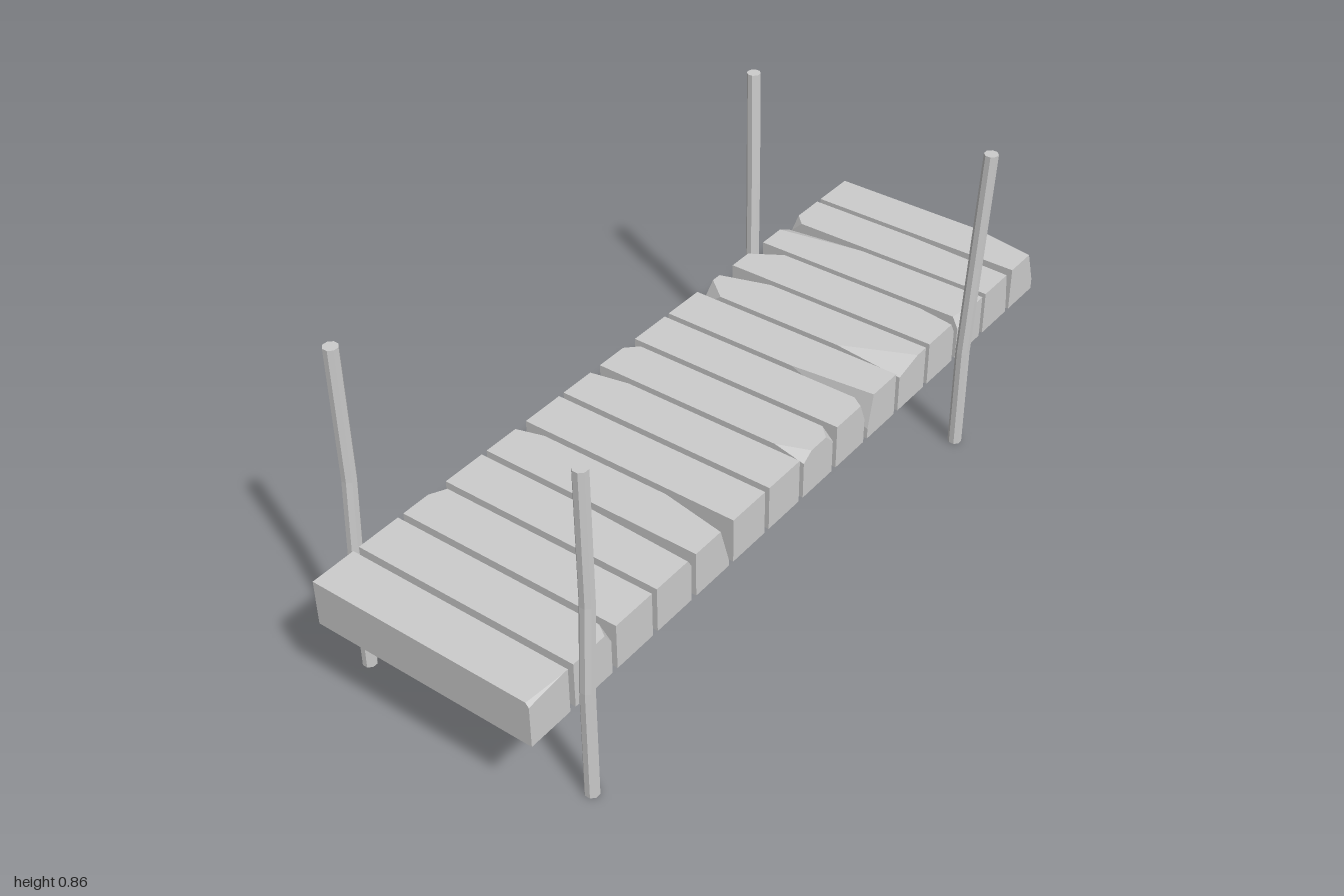
import * as THREE from 'three';
import { ConvexGeometry } from 'three/addons/geometries/ConvexGeometry.js';

const COUNT = 15, DEPTH = 0.118, LEFT = -0.295, RIGHT = 0.292, BOTTOM = 0.24, TOP = 0.358;

// Chipped top corners: [plank, x side, z side, cut along x, cut along y, cut along z]
const CHIPS = [
  [0, 1, -1, 0.17, 0.09, 0.03],
  [1, 1, -1, 0.3, 0.1, 0.012], [1, -1, 1, 0.03, 0.03, 0.03],
  [2, -1, -1, 0.23, 0.02, 0.04], [2, 1, 1, 0.015, 0.03, 0.1],
  [3, -1, -1, 0.08, 0.03, 0.05], [3, 1, -1, 0.1, 0.03, 0.015],
  [4, -1, -1, 0.13, 0.05, 0.04], [4, -1, 1, 0.06, 0.05, 0.05], [4, 1, 1, 0.18, 0.02, 0.08],
  [5, 1, 1, 0.22, 0.09, 0.02],
  [6, 1, -1, 0.03, 0.05, 0.02],
  [7, -1, -1, 0.03, 0.03, 0.03], [7, 1, -1, 0.03, 0.03, 0.03], [7, 1, 1, 0.08, 0.02, 0.03],
  [8, -1, -1, 0.1, 0.03, 0.02],
  [10, -1, -1, 0.07, 0.03, 0.02], [10, 1, -1, 0.17, 0.1, 0.03],
  [11, 1, -1, 0.29, 0.02, 0.012],
  [12, -1, -1, 0.02, 0.03, 0.04],
  [13, 1, -1, 0.03, 0.03, 0.02],
  [14, 1, 1, 0.008, 0.01, 0.1],
];

// Block whose chipped top corners are each replaced by three points
function plankGeometry(index) {
  const points = [];
  for (const sx of [-1, 1]) for (const sz of [-1, 1]) {
    const x = sx < 0 ? LEFT : RIGHT, z = sz * DEPTH / 2;
    points.push(new THREE.Vector3(x, BOTTOM, z));
    const chip = CHIPS.find(c => c[0] === index && c[1] === sx && c[2] === sz);
    if (chip) {
      const [, , , dx, dy, dz] = chip;
      points.push(
        new THREE.Vector3(x - sx * dx, TOP, z),
        new THREE.Vector3(x, TOP - dy, z),
        new THREE.Vector3(x, TOP, z - sz * dz));
    } else points.push(new THREE.Vector3(x, TOP, z));
  }
  return new ConvexGeometry(points);
}

// Eight-sided pole whose rings follow a slightly bent centre line of [x, y, z] points
function postGeometry(path) {
  const n = path.length - 1;
  const g = new THREE.CylinderGeometry(0.0175, 0.0175, 1, 8, n, false, Math.PI / 8);
  const p = g.attributes.position;
  for (let i = 0; i < p.count; i++) {
    const [x, y, z] = path[Math.round((p.getY(i) + 0.5) * n)];
    p.setXYZ(i, p.getX(i) + x, y, p.getZ(i) + z);
  }
  const flat = g.toNonIndexed();
  flat.computeVertexNormals();
  return flat;
}

export function createModel() {
  const model = new THREE.Group();
  model.name = 'dock';
  const wood = new THREE.MeshStandardMaterial({ color: 0xcccccc });
  wood.name = 'grey wood';
  wood.flatShading = true;

  const add = (name, geometry) => {
    const mesh = new THREE.Mesh(geometry, wood);
    mesh.name = name;
    model.add(mesh);
    return mesh;
  };

  // Deck planks, back to front
  for (let i = 0; i < COUNT; i++) {
    const z = -1 + DEPTH / 2 + i * (2 - DEPTH) / (COUNT - 1);
    add('plank' + (i + 1), plankGeometry(i)).position.z = z;
  }

  // Posts, mirrored on both sides
  const frontPath = [[0.319, 0, 0.86], [0.319, 0.3, 0.858], [0.319, 0.52, 0.845], [0.319, 0.857, 0.845]];
  const backPath = [[0.319, 0, -0.6], [0.319, 0.28, -0.6], [0.326, 0.53, -0.61], [0.336, 0.835, -0.62]];
  for (const side of [-1, 1]) {
    const label = side > 0 ? 'Left' : 'Right';
    const mirror = path => path.map(([x, y, z]) => [x * side, y, z]);
    add('frontPost' + label, postGeometry(mirror(frontPath)));
    add('backPost' + label, postGeometry(mirror(backPath)));
  }
  return model;
}
